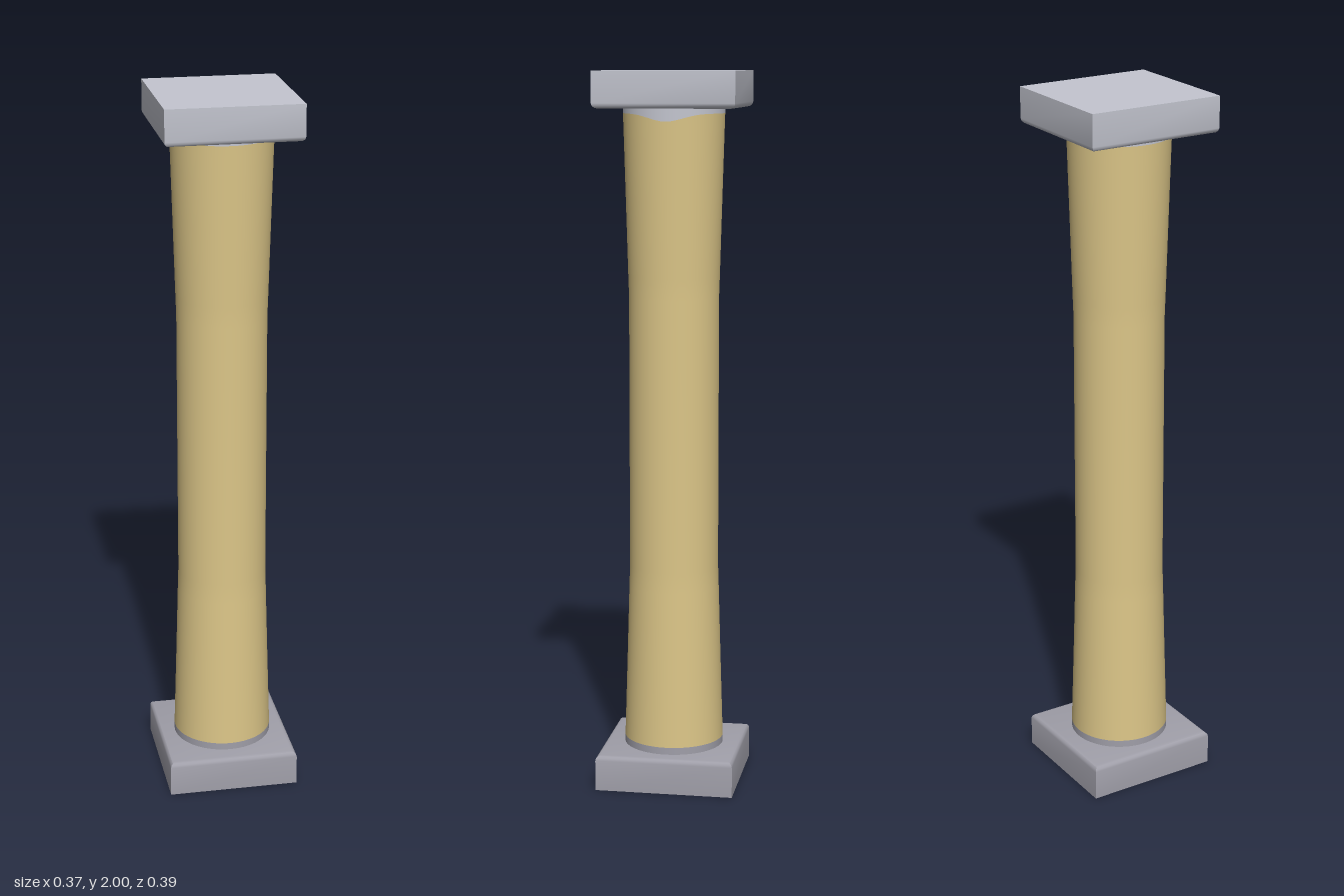
import * as THREE from 'three';
import { toCreasedNormals } from 'three/addons/utils/BufferGeometryUtils.js';

const WIDTH = 0.37, DEPTH = 0.388, HEIGHT = 0.1;
const RIM_Y = 1.885; // where the shaft colour meets the neck

// Square slab standing on y = 0 with a rounded upper rim
function slabGeometry() {
  const rows = [[0, 0], [0, 0.086], [0.002, 0.093], [0.007, 0.098], [0.014, HEIGHT]]; // inset, y
  const geo = new THREE.BoxGeometry(WIDTH, HEIGHT, DEPTH, 1, rows.length - 1, 1);
  const p = geo.attributes.position;
  for (let i = 0; i < p.count; i++) {
    const row = Math.round((p.getY(i) / HEIGHT + 0.5) * (rows.length - 1));
    const [inset, y] = rows[row];
    p.setXYZ(i, p.getX(i) - Math.sign(p.getX(i)) * inset, y, p.getZ(i) - Math.sign(p.getZ(i)) * inset);
  }
  return toCreasedNormals(geo, 0.8);
}

// Round section; the colour edge near the top dips on the +x side
function turned(profile) {
  const geo = new THREE.LatheGeometry(profile.map(([r, y]) => new THREE.Vector2(r, y)), 64);
  const p = geo.attributes.position;
  for (let i = 0; i < p.count; i++) {
    if (Math.abs(p.getY(i) - RIM_Y) > 1e-4) continue;
    const angle = Math.atan2(p.getZ(i), p.getX(i));
    p.setY(i, RIM_Y - 0.02 * Math.exp(-((angle / 0.45) ** 2)));
  }
  return geo;
}

export function createModel() {
  const column = new THREE.Group();
  column.name = 'column';

  const make = (name, color) => {
    const m = new THREE.MeshStandardMaterial({ color });
    m.name = name;
    return m;
  };
  const paleStone = make('pale stone', 0xc4c6d0);
  const greyStone = make('grey stone', 0xa09fa9);
  const sandstone = make('sandstone', 0xdcc688);

  const add = (name, geo, material) => {
    const mesh = new THREE.Mesh(geo, material);
    mesh.name = name;
    column.add(mesh);
    return mesh;
  };

  // Plinth and the matching capital turned upside down
  add('plinth', slabGeometry(), greyStone);
  const capital = add('capital', slabGeometry(), paleStone);
  capital.rotation.x = Math.PI;
  capital.position.y = 2;

  // Shaft, flaring at both ends, with a stone collar at each end
  add('lowerCollar', turned([[0.14, 0.09], [0.14, 0.12]]), greyStone);
  add('shaft', turned([
    [0.14, 0.12], [0.133, 0.35], [0.127, 0.56], [0.125, 0.62],
    [0.125, 1.38], [0.127, 1.44], [0.133, 1.65], [0.139, 1.855], [0.14, RIM_Y],
  ]), sandstone);
  add('upperCollar', turned([[0.14, RIM_Y], [0.14, 1.91]]), paleStone);

  return column;
}
